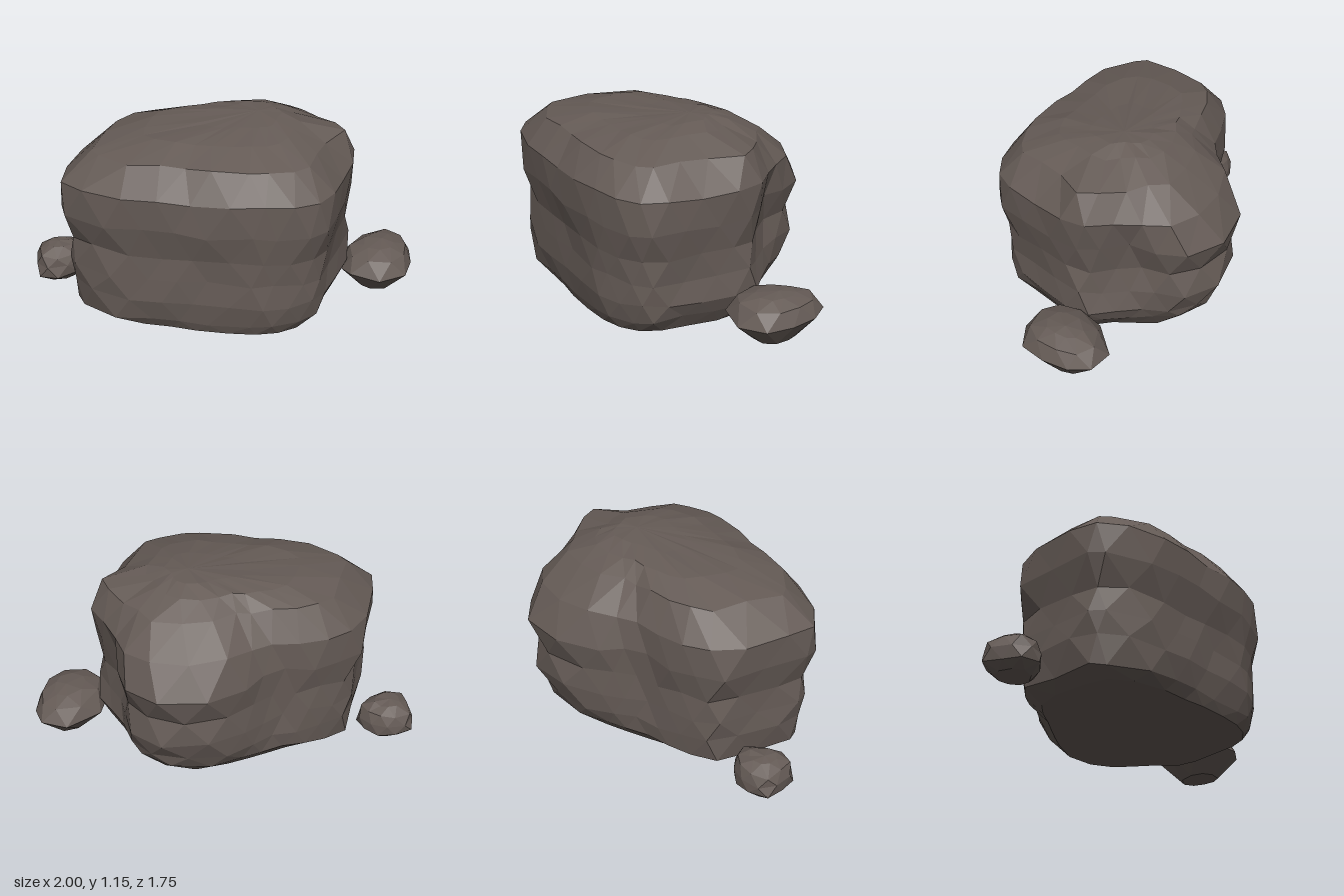
import * as THREE from 'three';

const stone = new THREE.MeshStandardMaterial({ color: 0x655b56, flatShading: true });
stone.name = 'brown grey stone';
const { clamp } = THREE.MathUtils;

// Small seeded random in -1..1
function seeded(seed) {
  let s = seed;
  return () => {
    s = (s * 16807) % 2147483647;
    return (s / 2147483647) * 2 - 1;
  };
}

// Faceted stone: one plan outline, scaled ring by ring from the ground up, capped at both ends.
// Every other ring is turned half a step, so the facets are staggered triangles.
// Ring: y height, s scale, cx/cz centre, tilt along x,
// tuck of the back right lobe, pinch of the right front side, hollow between the back lobes.
function makeStone(name, outline, centre, rings, topPoint, roughness, seed) {
  const rand = seeded(seed);
  const n = outline.length;
  const pos = [];
  const index = [];
  rings.forEach((r, i) => {
    const { y, s, cx = centre[0], cz = centre[1], tilt = 0, tuck = 0, pinch = 0, hollow = 0 } = r;
    for (let j = 0; j < n; j++) {
      const p = outline[j], q = outline[(j + 1) % n];
      const t = i % 2 ? 0 : 0.5;
      const x = p[0] + (q[0] - p[0]) * t;
      const z = p[1] + (q[1] - p[1]) * t;
      const lobe = clamp((x + 0.05) / 0.3, 0, 1) * clamp((0.15 - z) / 0.5, 0, 1);
      const side = x > 0.5 && z > 0.15 ? 1 : 0;
      const gap = z < -0.45 ? clamp(1.3 - Math.abs(x - 0.03) / 0.2, 0, 1) : 0;
      const rough = roughness * s;
      const k = s * (1 - tuck * lobe - pinch * side - hollow * gap) + rand() * rough;
      const px = cx + (x - centre[0]) * k;
      const pz = cz + (z - centre[1]) * k;
      const lift = i === 0 ? 0 : rand() * rough;
      pos.push(px, Math.max(0, y + tilt * px + lift), pz);
    }
  });
  for (let i = 0; i < rings.length - 1; i++) {
    for (let j = 0; j < n; j++) {
      const a = i * n + j, b = i * n + (j + 1) % n;
      const c = a + n, d = b + n;
      if (i % 2) index.push(a, c, b, b, c, d);
      else index.push(a, d, b, a, c, d);
    }
  }
  // Caps
  const bottom = pos.length / 3, top = bottom + 1, last = (rings.length - 1) * n;
  pos.push(rings[0].cx ?? centre[0], 0, rings[0].cz ?? centre[1], ...topPoint);
  for (let j = 0; j < n; j++) {
    const k = (j + 1) % n;
    index.push(bottom, j, k, top, last + k, last + j);
  }
  const indexed = new THREE.BufferGeometry();
  indexed.setAttribute('position', new THREE.Float32BufferAttribute(pos, 3));
  indexed.setIndex(index);
  const geometry = indexed.toNonIndexed();
  geometry.computeVertexNormals();
  const mesh = new THREE.Mesh(geometry, stone);
  mesh.name = name;
  return mesh;
}

export function createModel() {
  const model = new THREE.Group();
  model.name = 'rocks';

  // Main boulder: pointed front, lobes at back left and back right
  const boulderPlan = [
    [-1, -0.25], [-0.98, -0.35], [-0.75, -0.52], [-0.55, -0.68], [-0.38, -0.67], [-0.22, -0.62],
    [-0.07, -0.55], [0.08, -0.53], [0.23, -0.54], [0.48, -0.49], [0.71, -0.32], [0.77, -0.09],
    [0.7, 0.08], [0.64, 0.22], [0.63, 0.4], [0.6, 0.54], [0.4, 0.64], [0.22, 0.75],
    [0.05, 0.85], [-0.08, 0.84], [-0.25, 0.76], [-0.36, 0.68], [-0.54, 0.48], [-0.66, 0.34],
    [-0.78, 0.2], [-0.93, 0.02],
  ];
  model.add(makeStone('boulder', boulderPlan, [-0.05, 0], [
    { y: 0, s: 0.82, cx: -0.08, cz: 0.03, tuck: 0.08, hollow: -0.06 },
    { y: 0.09, s: 0.92, tilt: 0.05, tuck: 0.1, hollow: -0.05 },
    { y: 0.21, s: 0.96, tuck: 0.05 },
    { y: 0.35, s: 0.95, pinch: 0.02 },
    { y: 0.5, s: 0.95, pinch: 0.05, hollow: 0.03 },
    { y: 0.68, s: 0.995, pinch: 0.05, hollow: 0.06 },
    { y: 0.87, s: 0.995, tuck: 0.13, hollow: 0.08 },
    { y: 1.035, s: 0.8, cz: 0.02, tuck: 0.26, pinch: -0.07, hollow: 0.05 },
    { y: 1.105, s: 0.53, cx: -0.02, cz: 0.03, tilt: 0.02, tuck: 0.22 },
    { y: 1.13, s: 0.27, cx: 0.06, cz: 0.08, tilt: 0.07, tuck: 0.1 },
  ], [0.14, 1.15, 0.12], 0.016, 71));

  // Wide pebble at the front, right of the boulder's tip
  const frontPlan = [
    [0.44, 0.66], [0.47, 0.55], [0.64, 0.4], [0.89, 0.4], [0.99, 0.53],
    [0.95, 0.66], [0.84, 0.78], [0.7, 0.87], [0.53, 0.82],
  ];
  model.add(makeStone('frontPebble', frontPlan, [0.72, 0.62], [
    { y: 0, s: 0.5 },
    { y: 0.15, s: 1.01 },
    { y: 0.235, s: 0.84 },
    { y: 0.275, s: 0.42 },
  ], [0.74, 0.29, 0.62], 0.012, 23));

  // Small round pebble at the back
  const backPlan = [
    [-0.97, -0.68], [-0.92, -0.78], [-0.85, -0.88], [-0.73, -0.85], [-0.65, -0.78],
    [-0.62, -0.69], [-0.64, -0.59], [-0.76, -0.565], [-0.9, -0.58],
  ];
  model.add(makeStone('backPebble', backPlan, [-0.79, -0.71], [
    { y: 0, s: 0.68 },
    { y: 0.05, s: 0.99 },
    { y: 0.11, s: 1.05 },
    { y: 0.175, s: 0.86 },
    { y: 0.215, s: 0.5 },
  ], [-0.8, 0.225, -0.72], 0.012, 47));

  return model;
}
